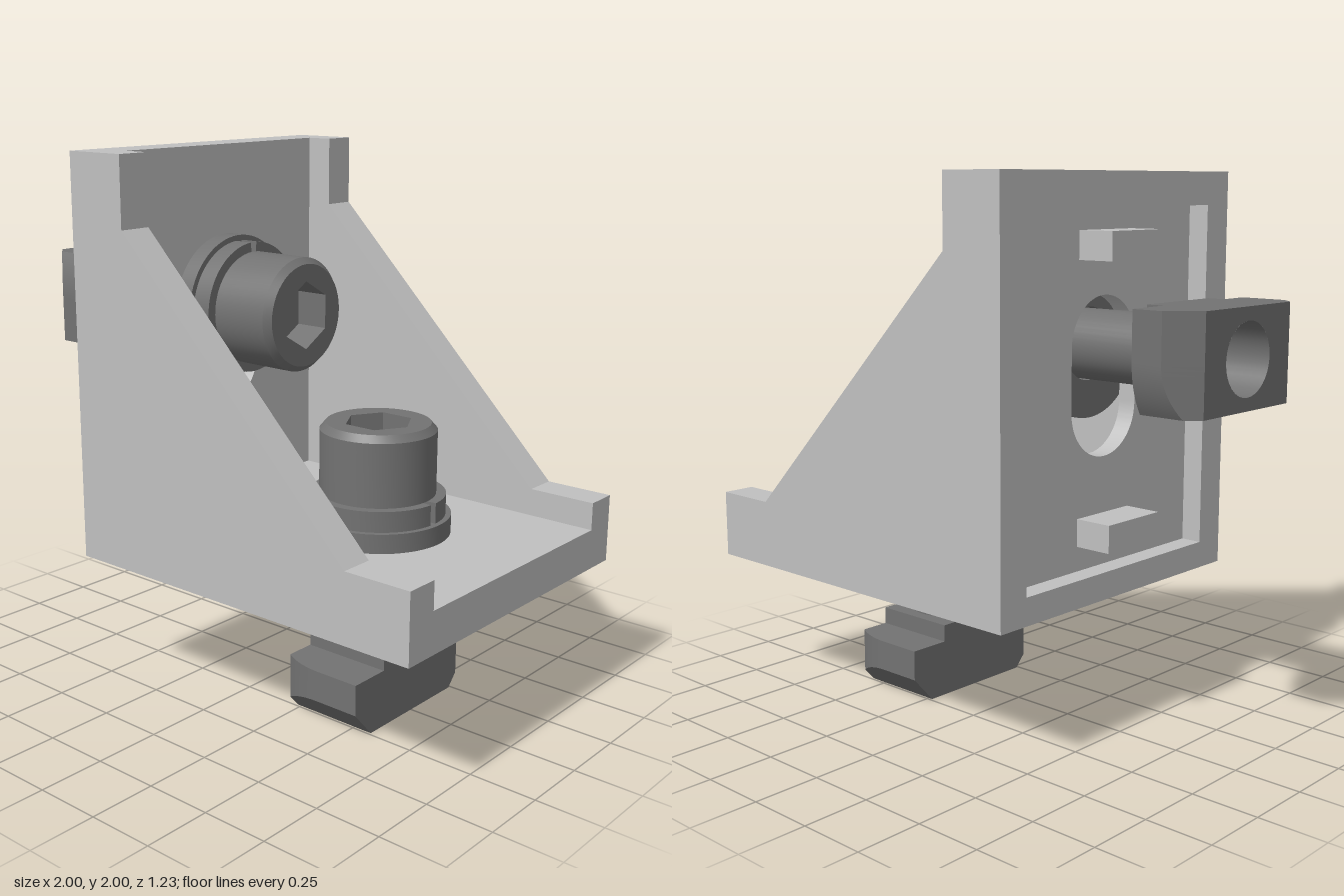
import * as THREE from 'three';
import { mergeGeometries, toCreasedNormals } from 'three/addons/utils/BufferGeometryUtils.js';

const bracketGrey = new THREE.MeshStandardMaterial({ color: 0xc0c0c0 });
bracketGrey.name = 'bracketGrey';
const steelGrey = new THREE.MeshStandardMaterial({ color: 0x727272, side: THREE.DoubleSide });
steelGrey.name = 'steelGrey';

const LENGTH = 1.487, THICK = 0.15, RECESS = 0.08;
const INNER = 0.49, OUTER = 0.615;
const BOLT_U = 0.89;

function mesh(name, geometry, material) {
  const m = new THREE.Mesh(geometry, material);
  m.name = name;
  return m;
}
function box(name, u0, u1, v0, v1, halfZ, material) {
  const g = new THREE.BoxGeometry(u1 - u0, v1 - v0, halfZ * 2);
  g.translate((u0 + u1) / 2, (v0 + v1) / 2, 0);
  return mesh(name, g, material);
}
function polygon(points) {
  return new THREE.Shape(points.map(([x, y]) => new THREE.Vector2(x, y)));
}
function circlePath(r) {
  return new THREE.Path().absarc(0, 0, r, 0, Math.PI * 2, true);
}
// Flat shape raised upward from height v
function slab(shape, v, depth) {
  const g = new THREE.ExtrudeGeometry(shape, { depth, bevelEnabled: false, curveSegments: 32 });
  g.rotateX(-Math.PI / 2).translate(0, v, 0);
  return toCreasedNormals(g, 0.5);
}
function lathe(points) {
  return toCreasedNormals(new THREE.LatheGeometry(points.map(([r, y]) => new THREE.Vector2(r, y)), 48), 0.5);
}

// Hammer nut: rectangle with two opposite corners rounded, ends chamfered below
function nutGeometry() {
  const W = 0.17, R = 0.33, FLAT = 0.24, CH = 0.1, H = 0.215, HOLE = 0.125, N = 20;
  const half = [];
  for (let i = 0; i <= N; i++) {
    const x = -W + (2 * W * i) / N;
    half.push([x, x < 0 ? Math.sqrt(R * R - x * x) : R]);
  }
  const plan = [...half, ...half.map(([x, z]) => [-x, -z])];
  const rings = [
    plan.map(([x, z]) => [x, 0, Math.sign(z) * FLAT]),
    plan.map(([x, z]) => [x, (CH * (Math.abs(z) - FLAT)) / (R - FLAT), z]),
    plan.map(([x, z]) => [x, H, z]),
  ];
  const pos = [];
  for (let r = 0; r < 2; r++) {
    for (let i = 0; i < plan.length; i++) {
      const j = (i + 1) % plan.length;
      const [a, b, c, d] = [rings[r][i], rings[r][j], rings[r + 1][j], rings[r + 1][i]];
      pos.push(...a, ...b, ...c, ...a, ...c, ...d);
    }
  }
  let sides = new THREE.BufferGeometry();
  sides.setAttribute('position', new THREE.Float32BufferAttribute(pos, 3));
  sides = toCreasedNormals(sides, 0.3);

  const top = new THREE.ShapeGeometry(polygon(plan.map(([x, z]) => [x, -z])));
  top.rotateX(-Math.PI / 2).translate(0, H, 0);
  const underside = polygon([[-W, -FLAT], [W, -FLAT], [W, FLAT], [-W, FLAT]]);
  underside.holes.push(circlePath(HOLE));
  const bottom = new THREE.ShapeGeometry(underside, 24);
  bottom.rotateX(Math.PI / 2);
  const bore = new THREE.CylinderGeometry(HOLE, HOLE, H, 32, 1, true).translate(0, H / 2, 0);
  const parts = [sides, top, bottom, bore].map((g) => {
    const p = g.index ? g.toNonIndexed() : g;
    p.deleteAttribute('uv');
    return p;
  });
  return mergeGeometries(parts);
}

// Screw with washers and hammer nut, axis along local y
function createBolt() {
  const bolt = new THREE.Group();
  bolt.name = 'bolt';
  const add = (name, g) => bolt.add(mesh(name, g, steelGrey));

  add('hammerNut', nutGeometry().translate(0, -0.513, 0));
  bolt.add(box('nutCollar', -0.17, 0.17, -0.298, -0.233, 0.17, steelGrey));
  add('shank', new THREE.CylinderGeometry(0.125, 0.125, 0.63, 40).translate(0, -0.015, 0));

  const flat = new THREE.Shape().absarc(0, 0, 0.265, 0, Math.PI * 2, false);
  flat.holes.push(circlePath(0.13));
  add('flatWasher', slab(flat, THICK, 0.07));

  // Spring washer with a narrow split
  const gap = 0.06;
  const split = new THREE.Shape();
  split.absarc(0, 0, 0.245, gap, Math.PI * 2 - gap, false);
  split.absarc(0, 0, 0.18, Math.PI * 2 - gap, gap, true);
  add('springWasher', slab(split, 0.22, 0.075));

  // Socket head
  const TOP = 0.552, DEPTH = 0.13, HEX = 0.125;
  add('screwHead', lathe([[0.13, 0.22], [0.19, 0.22], [0.19, 0.295], [0.21, 0.295], [0.21, TOP - 0.025], [0.188, TOP]]));
  const rim = new THREE.Shape().absarc(0, 0, 0.188, 0, Math.PI * 2, false);
  const hex = [];
  for (let i = 0; i < 6; i++) {
    const a = (-i * Math.PI) / 3;
    hex.push(new THREE.Vector2(HEX * Math.cos(a), HEX * Math.sin(a)));
  }
  rim.holes.push(new THREE.Path(hex));
  add('headRim', new THREE.ShapeGeometry(rim, 24).rotateX(-Math.PI / 2).translate(0, TOP, 0));
  const socket = new THREE.CylinderGeometry(HEX, HEX, DEPTH, 6, 1, true);
  socket.rotateY(Math.PI / 6).translate(0, TOP - DEPTH / 2, 0);
  add('hexSocket', toCreasedNormals(socket, 0.5));
  add('socketFloor', new THREE.CircleGeometry(HEX, 6).rotateX(-Math.PI / 2).translate(0, TOP - DEPTH, 0));
  return bolt;
}

// One arm: u runs along x from the corner, v is up through the plate
function createArm(name) {
  const arm = new THREE.Group();
  arm.name = name;

  const panel = polygon([[RECESS, -INNER], [LENGTH, -INNER], [LENGTH, INNER], [RECESS, INNER]]);
  const slot = new THREE.Path();
  slot.absarc(0.67, 0, 0.175, -Math.PI / 2, Math.PI / 2, true);
  slot.absarc(BOLT_U, 0, 0.175, Math.PI / 2, -Math.PI / 2, true);
  slot.closePath();
  panel.holes.push(slot);
  arm.add(mesh('slottedPlate', slab(panel, RECESS, THICK - RECESS), bracketGrey));
  arm.add(box('endRim', LENGTH - 0.12, LENGTH, 0, RECESS, INNER, bracketGrey));

  // Locating tabs standing out of the recess
  for (const u of [0.19, 1.19]) {
    arm.add(box('locatingTab', u, u + 0.1, -0.063, RECESS, 0.14, bracketGrey));
  }
  const bolt = createBolt();
  bolt.position.x = BOLT_U;
  arm.add(bolt);
  return arm;
}

export function createModel() {
  const model = new THREE.Group();
  model.name = 'cornerBracket';
  const body = new THREE.Group();
  body.name = 'bracketAssembly';
  body.position.set(-0.487, 0.513, 0);
  model.add(body);

  // Gusset side walls
  const profile = polygon([[0, 0], [LENGTH, 0], [LENGTH, 0.252], [1.232, 0.252], [0.252, 1.232], [0.252, LENGTH], [0, LENGTH]]);
  for (const [name, z] of [['leftWall', INNER], ['rightWall', -OUTER]]) {
    const g = new THREE.ExtrudeGeometry(profile, { depth: OUTER - INNER, bevelEnabled: false });
    body.add(mesh(name, g.translate(0, 0, z), bracketGrey));
  }
  body.add(box('cornerRim', 0, 0.1, 0, 0.1, INNER, bracketGrey));

  // Lower arm, and the same arm turned over the diagonal
  body.add(createArm('lowerArm'));
  const upright = createArm('uprightArm');
  upright.quaternion.setFromAxisAngle(new THREE.Vector3(1, 1, 0).normalize(), Math.PI);
  body.add(upright);
  return model;
}
